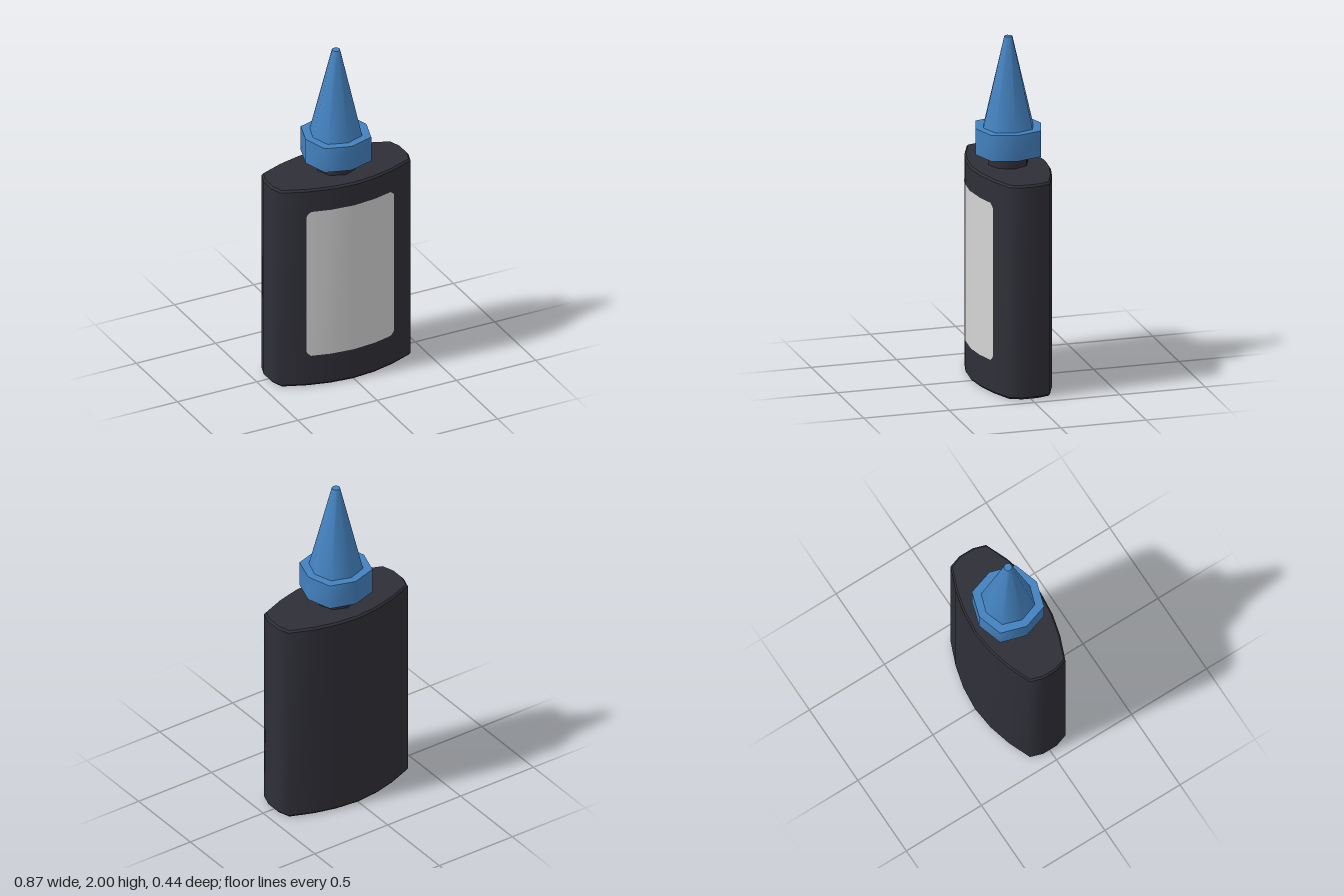
import * as THREE from 'three';

const dark = new THREE.MeshStandardMaterial({ color: 0x2f2f38 });
const blue = new THREE.MeshStandardMaterial({ color: 0x4482c0 });
const paper = new THREE.MeshStandardMaterial({ color: 0xd4d4d4, side: THREE.DoubleSide });
dark.name = 'charcoal plastic';
blue.name = 'blue plastic';
paper.name = 'label grey';

// Front curve of the bottle from the middle to the side: [x, z]
const curve = [[0, 0.221], [0.14, 0.207], [0.272, 0.173], [0.409, 0.118], [0.433, 0.045]];

// Full bottle outline, anticlockwise seen from above, pulled in by inset
function bottleRing(y, inset) {
  const quarter = curve.map(([x, z]) => [x * (1 - inset / 0.433), z * (1 - inset / 0.221)]);
  const right = [...quarter, ...quarter.slice().reverse().map(([x, z]) => [x, -z])];
  const left = right.slice(1, -1).reverse().map(([x, z]) => [-x, z]);
  return [...right, ...left].map(([x, z]) => new THREE.Vector3(x, y, z));
}

// Eight-sided ring; the diagonal corners may have their own radius
function octagon(y, r, diagonal = r) {
  return Array.from({ length: 8 }, (_, i) => {
    const a = (i * Math.PI) / 4, d = i % 2 ? diagonal : r;
    return new THREE.Vector3(Math.cos(a) * d, y, -Math.sin(a) * d);
  });
}

// Closed solid through rings: each band smooth around, sharp between bands
function loft(name, rings, material) {
  const pos = [], index = [], n = rings[0].length;
  const add = (points) => {
    const start = pos.length / 3;
    points.forEach((p) => pos.push(p.x, p.y, p.z));
    return start;
  };
  for (let k = 0; k < rings.length - 1; k++) {
    const b = add(rings[k]), t = add(rings[k + 1]);
    for (let i = 0; i < n; i++) {
      const j = (i + 1) % n;
      index.push(b + i, b + j, t + j, b + i, t + j, t + i);
    }
  }
  const bottom = add(rings[0]), top = add(rings[rings.length - 1]);
  for (let i = 1; i < n - 1; i++) {
    index.push(bottom, bottom + i + 1, bottom + i, top, top + i, top + i + 1);
  }
  return makeMesh(name, pos, index, material);
}

function makeMesh(name, pos, index, material) {
  const geo = new THREE.BufferGeometry();
  geo.setAttribute('position', new THREE.Float32BufferAttribute(pos, 3));
  geo.setIndex(index);
  geo.computeVertexNormals();
  const mesh = new THREE.Mesh(geo, material);
  mesh.name = name;
  return mesh;
}

// Thin label following the front curve, with clipped corners
function makeLabel() {
  const half = [[0, 0], [0.14, 0], [0.25, 0], [0.268, 0.014], [0.277, 0.033]];
  const columns = [...half.slice(1).reverse().map(([x, c]) => [-x, c]), ...half];
  const surfaceZ = (x) => {
    const i = curve.findIndex((p) => p[0] >= x) || 1;
    const [x0, z0] = curve[i - 1], [x1, z1] = curve[i];
    return THREE.MathUtils.mapLinear(x, x0, x1, z0, z1);
  };
  // The curve knee at x = 0.272 falls inside the clipped corner
  columns.splice(1, 0, [-0.272, 0.02]);
  columns.splice(columns.length - 1, 0, [0.272, 0.02]);
  const pos = [], index = [];
  columns.forEach(([x, clip], i) => {
    const z = surfaceZ(Math.abs(x)) + 0.003;
    pos.push(x, 0.192 + clip, z, x, 1.113 - clip, z);
    if (i) {
      const a = 2 * i - 2;
      index.push(a, a + 2, a + 3, a, a + 3, a + 1);
    }
  });
  return makeMesh('label', pos, index, paper);
}

export function createModel() {
  const model = new THREE.Group();
  model.name = 'glueBottle';
  model.add(
    loft('bottleBody', [
      bottleRing(0, 0.01), bottleRing(0.012, 0), bottleRing(1.242, 0), bottleRing(1.254, 0.01),
    ], dark),
    makeLabel(),
    loft('neck', [octagon(1.25, 0.115), octagon(1.33, 0.115)], dark),
    loft('capCollar', [octagon(1.322, 0.192, 0.207), octagon(1.474, 0.192, 0.207)], blue),
    loft('nozzle', [octagon(1.47, 0.147, 0.155), octagon(2, 0.024)], blue),
  );
  return model;
}
